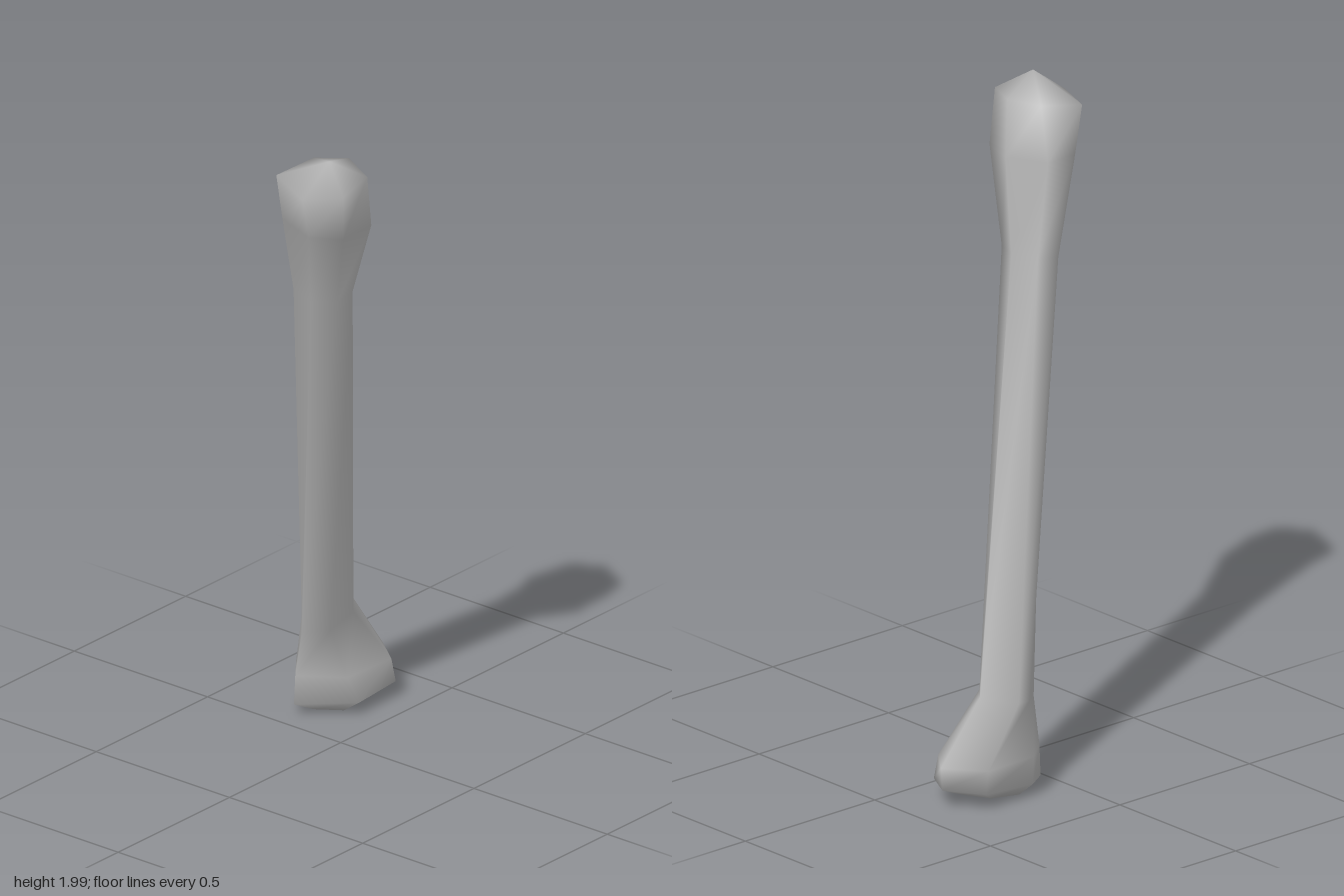
import * as THREE from 'three';

// Six-sided cross-sections from top to bottom: mean height, height slope along x,
// and [x, z] corners ordered left, back-left, back-right, right, front-right, front-left.
const sections = [
  { y: 1.935, slope: 0.15, ring: [[-0.405, 0.195], [-0.335, 0.038], [-0.205, 0.07], [-0.155, 0.16], [-0.21, 0.275], [-0.335, 0.29]] },
  { y: 1.78, slope: 0, ring: [[-0.365, 0.185], [-0.31, 0.04], [-0.2, 0.035], [-0.14, 0.15], [-0.18, 0.265], [-0.31, 0.268]] },
  { y: 1.51, slope: 0.15, ring: [[-0.225, 0.075], [-0.2, -0.01], [-0.13, 0], [-0.09, 0.07], [-0.12, 0.145], [-0.195, 0.15]] },
  { y: 0.3, slope: 0.25, ring: [[0.065, -0.2], [0.13, -0.255], [0.2, -0.287], [0.29, -0.22], [0.21, -0.128], [0.11, -0.13]] },
  { y: 0.13, slope: 0, ring: [[0.065, -0.225], [0.14, -0.285], [0.32, -0.29], [0.405, -0.18], [0.335, -0.09], [0.15, -0.1]] },
  { y: 0.05, slope: 0.07, ring: [[0.065, -0.23], [0.14, -0.28], [0.32, -0.28], [0.4, -0.18], [0.345, -0.082], [0.18, -0.082]] },
  { y: 0.02, slope: 0.14, ring: [[0.13, -0.21], [0.17, -0.255], [0.28, -0.255], [0.34, -0.18], [0.29, -0.13], [0.17, -0.13]] },
];

function loftBone() {
  const n = 6;
  const positions = [];
  const index = [];
  for (const { y, slope, ring } of sections) {
    const cx = ring.reduce((sum, p) => sum + p[0], 0) / n;
    for (const [x, z] of ring) positions.push(x, y + slope * (x - cx), z);
  }
  const last = (sections.length - 1) * n;
  const top = last + n;
  const bottom = top + 1;
  positions.push(-0.29, 2, 0.2); // crown of the upper knob
  positions.push(0.21, 0.01, -0.19); // middle of the lower end

  for (let i = 0; i < n; i++) {
    const j = (i + 1) % n;
    // Side walls
    for (let r = 0; r < last; r += n) {
      index.push(r + i, r + j, r + n + j, r + i, r + n + j, r + n + i);
    }
    // End caps
    index.push(top, j, i);
    index.push(bottom, last + i, last + j);
  }

  const geometry = new THREE.BufferGeometry();
  geometry.setAttribute('position', new THREE.Float32BufferAttribute(positions, 3));
  geometry.setIndex(index);
  geometry.computeVertexNormals();
  return geometry;
}

export function createModel() {
  const group = new THREE.Group();
  group.name = 'legBone';

  const boneGrey = new THREE.MeshStandardMaterial({ color: 0xb4b4b4 });
  boneGrey.name = 'boneGrey';

  // Slanted shaft with a knob at each end, one continuous smooth surface
  const bone = new THREE.Mesh(loftBone(), boneGrey);
  bone.name = 'bone';
  group.add(bone);
  return group;
}
